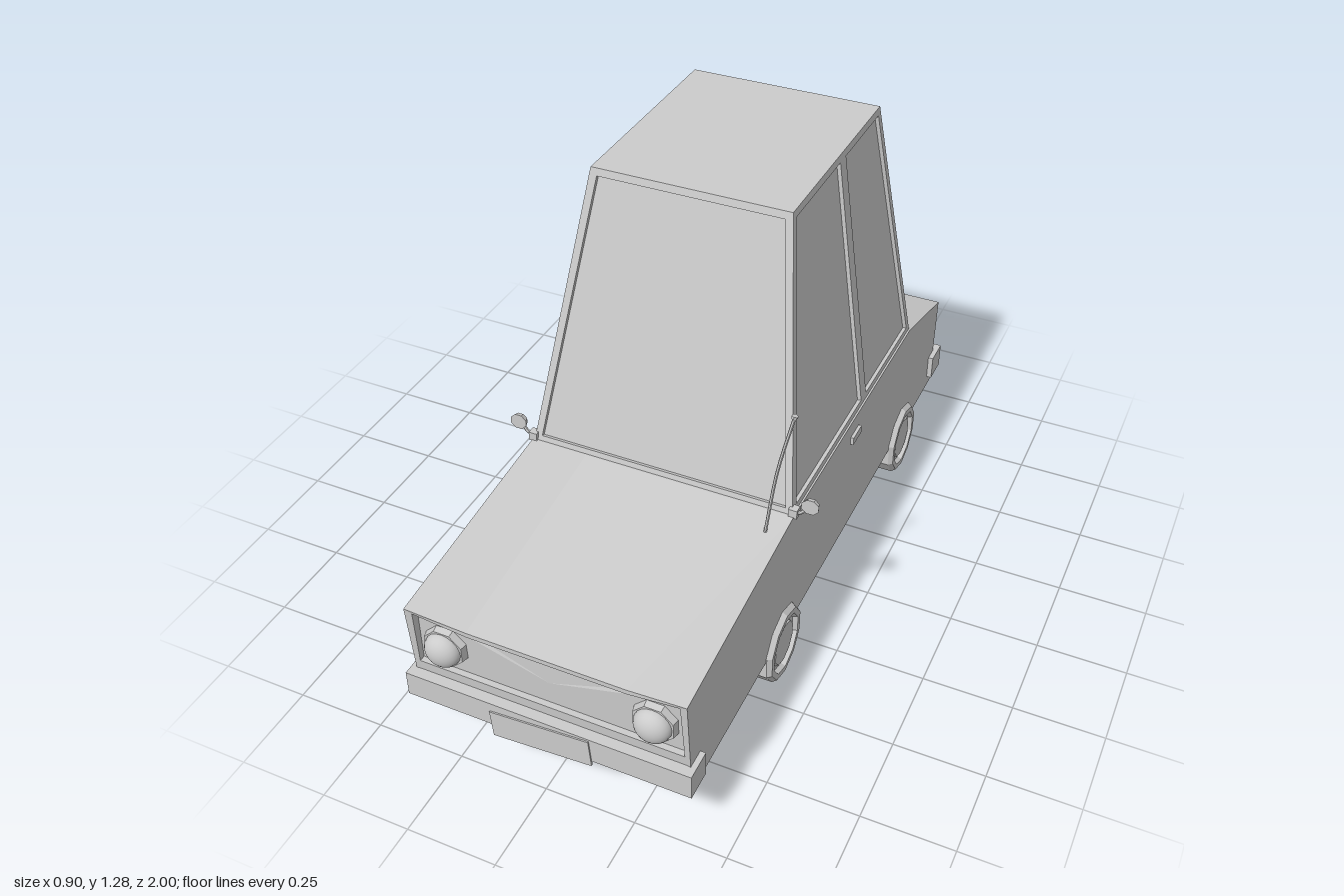
import * as THREE from 'three';

const flat = new THREE.MeshStandardMaterial({ color: 0xcccccc, flatShading: true, side: THREE.DoubleSide });
const smooth = new THREE.MeshStandardMaterial({ color: 0xcccccc });

function add(parent, name, geometry, pos = [0, 0, 0], rot = [0, 0, 0], material = flat) {
  const mesh = new THREE.Mesh(geometry, material);
  mesh.name = name;
  mesh.position.set(...pos);
  mesh.rotation.set(...rot);
  parent.add(mesh);
  return mesh;
}

const box = (w, h, d) => new THREE.BoxGeometry(w, h, d);
const curve = pts => new THREE.CatmullRomCurve3(pts.map(p => new THREE.Vector3(...p)));

// Lower body: mirrored half rings (bottom, shoulder, hood crease) lofted from rear to front
function bodyGeometry() {
  const halves = [
    [[0.385, 0.135, -0.89], [0.385, 0.43, -0.905], [0.22, 0.43, -0.905]],
    [[0.385, 0.135, -0.6], [0.385, 0.513, -0.6], [0.22, 0.513, -0.6]],
    [[0.385, 0.135, 0.33], [0.385, 0.515, 0.33], [0.22, 0.515, 0.33]],
    [[0.385, 0.135, 0.95], [0.385, 0.45, 0.972], [0.22, 0.422, 0.957]],
    [[0.37, 0.26, 0.957], [0.365, 0.437, 0.968], [0.22, 0.408, 0.957]],
    [[0.37, 0.26, 0.94], [0.365, 0.437, 0.945], [0.22, 0.408, 0.94]],
  ];
  const verts = [], index = [], n = 6;
  for (const half of halves) {
    const mirrored = half.map(([x, y, z]) => [-x, y, z]).reverse();
    verts.push(...half.flat(), ...mirrored.flat());
  }
  const last = halves.length - 1;
  const rearCentre = halves.length * n, frontCentre = rearCentre + 1;
  verts.push(0, 0.28, -0.9, 0, 0.33, 0.942);
  for (let j = 0; j < n; j++) {
    const k = (j + 1) % n;
    for (let i = 0; i < last; i++) {
      const a = i * n + j, b = i * n + k, c = b + n, d = a + n;
      index.push(a, b, c, a, c, d);
    }
    index.push(rearCentre, k, j, frontCentre, last * n + j, last * n + k);
  }
  const g = new THREE.BufferGeometry();
  g.setAttribute('position', new THREE.Float32BufferAttribute(verts, 3));
  g.setIndex(index);
  g.computeVertexNormals();
  return g;
}

// Tapered cabin: four sloping frames with window openings over inset glass
const Y0 = 0.515, Y1 = 1.28, DEPTH = 0.012;

function addCabinSide(parent, name, origin, u, slope, outline, windows) {
  const v = new THREE.Vector3(...slope);
  const k = v.length() / v.y;
  v.normalize();
  const U = new THREE.Vector3(...u);
  const N = new THREE.Vector3().crossVectors(U, v);
  const m = new THREE.Matrix4().makeBasis(U, v, N).setPosition(...origin);
  const pts = list => list.map(([s, y]) => new THREE.Vector2(s, (y - Y0) * k));
  const shape = new THREE.Shape(pts(outline));
  for (const w of windows) shape.holes.push(new THREE.Path(pts(w)));
  const frame = new THREE.ExtrudeGeometry(shape, { depth: DEPTH, bevelEnabled: false });
  add(parent, name + 'Frame', frame.translate(0, 0, -DEPTH).applyMatrix4(m));
  const glass = new THREE.ShapeGeometry(new THREE.Shape(pts(outline)));
  add(parent, name + 'Glass', glass.translate(0, 0, -DEPTH * 0.9).applyMatrix4(m));
}

function buildCabin() {
  const cabin = new THREE.Group();
  cabin.name = 'cabin';
  const rise = Y1 - Y0;
  const endOutline = [[-0.38, Y0], [0.38, Y0], [0.275, Y1], [-0.275, Y1]];
  const endWindow = [[[-0.358, 0.53], [0.358, 0.53], [0.256, 1.26], [-0.256, 1.26]]];
  addCabinSide(cabin, 'windshield', [0, Y0, 0.325], [1, 0, 0], [0, rise, -0.2], endOutline, endWindow);
  addCabinSide(cabin, 'rearWindow', [0, Y0, -0.605], [-1, 0, 0], [0, rise, 0.11], endOutline, endWindow);
  for (const s of [1, -1]) {
    const flip = list => list.map(([z, y]) => [-s * z, y]);
    addCabinSide(cabin, s > 0 ? 'leftSide' : 'rightSide', [s * 0.38, Y0, 0], [0, 0, -s], [-s * 0.105, rise, 0],
      flip([[0.325, Y0], [-0.605, Y0], [-0.495, Y1], [0.125, Y1]]),
      [
        flip([[0.295, 0.53], [-0.19, 0.53], [-0.19, 1.26], [0.107, 1.26]]),
        flip([[-0.23, 0.53], [-0.583, 0.53], [-0.478, 1.26], [-0.23, 1.26]]),
      ]);
  }
  add(cabin, 'roof', box(0.55, 0.01, 0.62), [0, Y1 - 0.005, -0.185]);
  return cabin;
}

// Faceted wheel with a sunken rim on both faces
function wheelGeometry() {
  const profile = [
    [0, -0.025], [0.07, -0.025], [0.08, -0.045], [0.1, -0.045], [0.112, -0.033], [0.112, 0.027],
    [0.103, 0.04], [0.086, 0.04], [0.081, 0.026], [0.068, 0.026], [0.063, 0.034], [0, 0.034],
  ].map(p => new THREE.Vector2(...p));
  return new THREE.LatheGeometry(profile, 10, Math.PI / 2);
}

// Round lamp facing +z: faceted ring and smooth dome
function addLamp(parent, name, radius, bulge, pos, yaw) {
  const lamp = new THREE.Group();
  lamp.name = name;
  add(lamp, 'lampRing', new THREE.CylinderGeometry(radius * 0.92, radius, 0.022, 8), [0, 0, 0.008], [Math.PI / 2, Math.PI / 8, 0]);
  const dome = new THREE.SphereGeometry(radius * 0.8, 20, 8, 0, Math.PI * 2, 0, Math.PI / 2);
  const lens = add(lamp, 'lampLens', dome, [0, 0, 0.018], [Math.PI / 2, 0, 0], smooth);
  lens.scale.y = bulge / (radius * 0.8);
  lamp.position.set(...pos);
  lamp.rotation.y = yaw;
  parent.add(lamp);
}

export function createModel() {
  const car = new THREE.Group();
  car.name = 'car';
  add(car, 'body', bodyGeometry());
  car.add(buildCabin());

  // Bumpers with short returns around the corners
  for (const [name, y, z, s] of [['frontBumper', 0.192, 0.967, 1], ['rearBumper', 0.21, -0.915, -1]]) {
    const bumper = new THREE.Group();
    bumper.name = name;
    add(bumper, 'bumperBar', box(0.8, 0.075, 0.036), [0, y, z]);
    for (const x of [-0.39, 0.39]) add(bumper, 'bumperEnd', box(0.02, 0.075, 0.06), [x, y, z - s * 0.035]);
    car.add(bumper);
  }

  // Crooked blank plates
  add(car, 'frontPlate', box(0.28, 0.083, 0.006), [-0.012, 0.172, 0.986], [0, 0, 0.075]);
  add(car, 'rearPlate', box(0.285, 0.083, 0.006), [-0.005, 0.178, -0.936], [0, 0, -0.075]);

  for (const s of [1, -1]) {
    const side = s > 0 ? 'left' : 'right';
    for (const [end, z] of [['Front', 0.385], ['Rear', -0.588]]) {
      add(car, side + end + 'Wheel', wheelGeometry(), [s * 0.36, 0.112, z], [0, 0, -s * Math.PI / 2]);
    }
    addLamp(car, side + 'Headlight', 0.063, 0.038, [s * 0.29, 0.34, 0.943], 0);
    addLamp(car, side + 'TailLight', 0.046, 0.016, [s * 0.28, 0.342, -0.9], Math.PI);
    add(car, side + 'DoorHandle', box(0.014, 0.024, 0.064), [s * 0.387, 0.453, -0.13]);

    // Door mirror on a bent stalk
    const mirror = new THREE.Group();
    mirror.name = side + 'Mirror';
    add(mirror, 'mirrorBase', box(0.024, 0.026, 0.024), [s * 0.382, 0.525, 0.32]);
    const stalk = curve([[s * 0.375, 0.523, 0.32], [s * 0.4, 0.528, 0.32], [s * 0.418, 0.55, 0.32]]);
    add(mirror, 'mirrorStalk', new THREE.TubeGeometry(stalk, 6, 0.005, 6));
    const head = add(mirror, 'mirrorHead', new THREE.CylinderGeometry(0.024, 0.02, 0.014, 8),
      [s * 0.427, 0.56, 0.32], [Math.PI / 2, Math.PI / 8, 0]);
    head.scale.x = 1.08;
    car.add(mirror);
  }

  // Bent antenna with a small tip
  const mast = curve([[0.335, 0.5, 0.4], [0.353, 0.69, 0.373], [0.383, 0.85, 0.346]]);
  add(car, 'antenna', new THREE.TubeGeometry(mast, 8, 0.0045, 6));
  add(car, 'antennaTip', new THREE.CylinderGeometry(0.009, 0.007, 0.01, 6), [0.383, 0.85, 0.346], [-0.15, 0, -0.18]);

  // Exhaust pipe, hollow at the end
  const pipe = curve([[0.225, 0.15, -0.775], [0.235, 0.122, -0.815], [0.25, 0.116, -0.88], [0.277, 0.116, -0.995]]);
  add(car, 'exhaustPipe', new THREE.TubeGeometry(pipe, 12, 0.023, 10));
  add(car, 'exhaustBore', new THREE.TubeGeometry(pipe, 12, 0.017, 10));
  add(car, 'exhaustRim', new THREE.RingGeometry(0.017, 0.023, 10), [0.277, 0.116, -0.995], [0, -0.23, 0]);

  return car;
}
